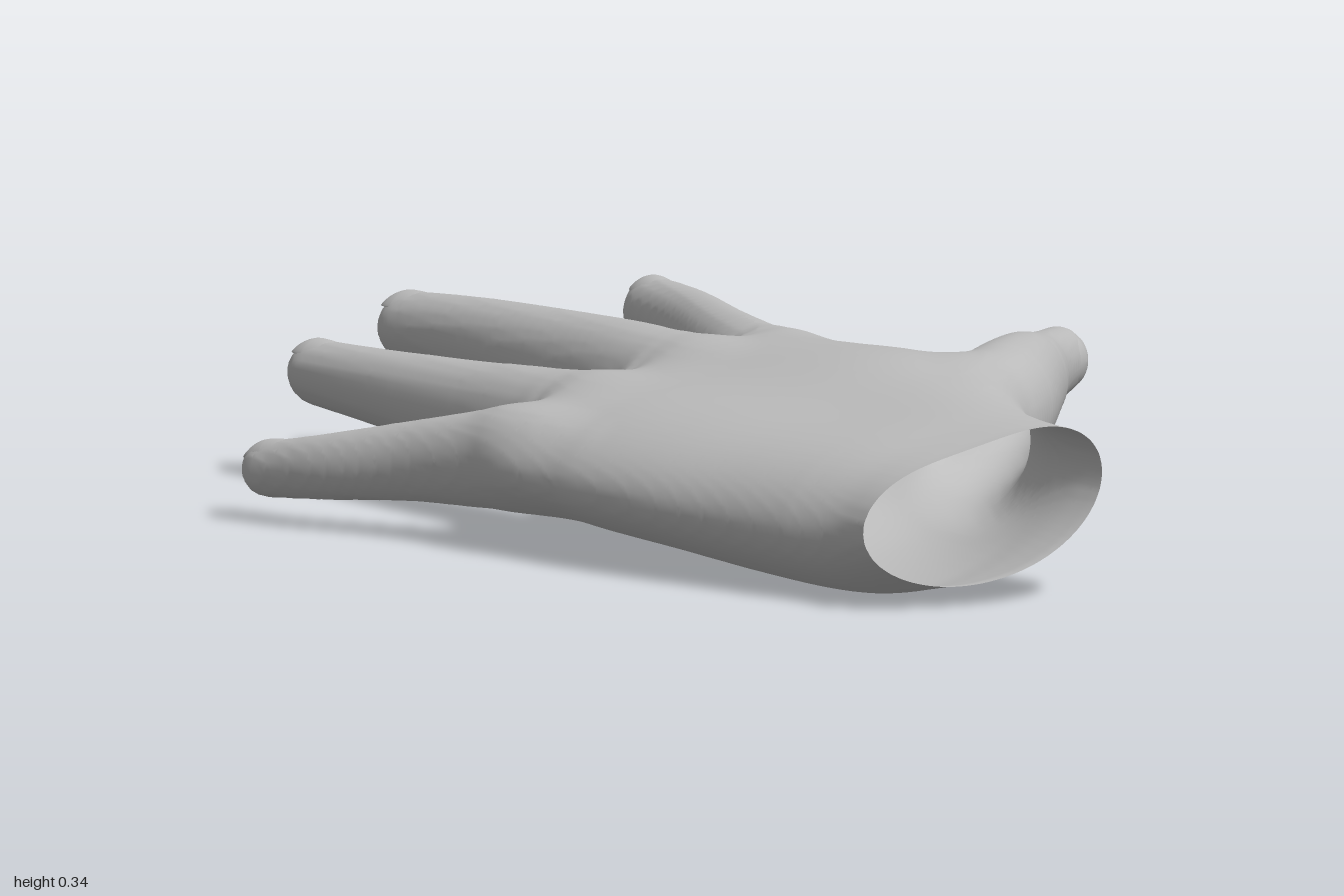
import * as THREE from 'three';

const skin = new THREE.MeshStandardMaterial({ color: 0xbcbcbc, side: THREE.DoubleSide });
skin.name = 'plain grey';

// Smoothly interpolates rows of numbers placed at increasing positions
function interpolate(positions, rows) {
  const curve = new THREE.CubicInterpolant(
    new Float32Array(positions), new Float32Array(rows.flat()), rows[0].length);
  return (t) => Array.from(curve.evaluate(t));
}

// Approximate distance to an ellipsoid with radii a, b, c
function ellipsoid(x, y, z, a, b, c) {
  const q = Math.hypot(x / a, y / b, z / c) + 1e-6;
  return (q * (q - 1)) / (Math.hypot(x / (a * a), y / (b * b), z / (c * c)) + 1e-6);
}

// Palm from wrist to finger webs: [z, left, right, centre y, half height, tilt, hollow]
const PALM = [
  [0.985, -0.405, 0.055, 0.178, 0.13, 0.17, 0],
  [0.9, -0.41, 0.055, 0.172, 0.141, 0.18, 0],
  [0.8, -0.428, 0.07, 0.168, 0.153, 0.18, 0],
  [0.6, -0.47, 0.14, 0.175, 0.158, 0.16, 0.015],
  [0.4, -0.515, 0.215, 0.19, 0.153, 0.15, 0.06],
  [0.2, -0.54, 0.2, 0.195, 0.142, 0.14, 0.09],
  [0, -0.535, 0.185, 0.2, 0.124, 0.13, 0.065],
  [-0.045, -0.485, 0.183, 0.203, 0.115, 0.13, 0.045],
  [-0.09, -0.41, 0.175, 0.205, 0.1, 0.13, 0.025],
];
const palmSection = interpolate(PALM.map((r) => -r[0]), PALM.map((r) => r.slice(1)));
const PALM_FRONT = -0.09, WEB_LENGTH = 0.055;

function palmDistance(x, y, z, [left, right, cy, hh, tilt, hollow]) {
  const u = x - (left + right) / 2, v = y - cy - tilt * u;
  // Cup the underside and flatten the back of the hand
  const h = hh - (v < 0 ? hollow * Math.exp(-((x + 0.14) ** 2) / 0.03)
    : 0.027 * Math.exp(-((x + 0.22) ** 2) / 0.03));
  return ellipsoid(u, v, Math.min(0, z - PALM_FRONT), (right - left) / 2, h, WEB_LENGTH);
}

// Digits from root to tip: [x, y, z, half width, half height]
const DIGITS = {
  littleFinger: [
    [-0.45, 0.165, 0.2, 0.04, 0.045], [-0.485, 0.16, 0, 0.07, 0.088],
    [-0.502, 0.15, -0.07, 0.067, 0.083], [-0.549, 0.136, -0.19, 0.05, 0.07],
    [-0.629, 0.108, -0.38, 0.043, 0.055], [-0.666, 0.087, -0.54, 0.042, 0.045],
  ],
  ringFinger: [
    [-0.285, 0.18, 0.2, 0.05, 0.05], [-0.3, 0.185, -0.02, 0.083, 0.096],
    [-0.308, 0.182, -0.17, 0.083, 0.096], [-0.316, 0.182, -0.36, 0.073, 0.084],
    [-0.327, 0.188, -0.69, 0.057, 0.063], [-0.328, 0.19, -0.887, 0.053, 0.053],
  ],
  middleFinger: [
    [-0.1, 0.205, 0.2, 0.05, 0.06], [-0.085, 0.218, -0.02, 0.085, 0.103],
    [-0.08, 0.225, -0.17, 0.09, 0.104], [-0.072, 0.23, -0.43, 0.08, 0.092],
    [-0.066, 0.235, -0.78, 0.065, 0.07], [-0.066, 0.23, -1, 0.059, 0.057],
  ],
  indexFinger: [
    [0.06, 0.215, 0.18, 0.05, 0.06], [0.1, 0.216, -0.02, 0.082, 0.099],
    [0.121, 0.222, -0.15, 0.08, 0.098], [0.175, 0.233, -0.33, 0.066, 0.086],
    [0.271, 0.243, -0.6, 0.057, 0.07], [0.329, 0.248, -0.828, 0.052, 0.057],
  ],
  thumb: [
    [-0.03, 0.2, 0.8, 0.05, 0.06], [0.04, 0.2, 0.62, 0.085, 0.105],
    [0.14, 0.21, 0.46, 0.107, 0.117], [0.285, 0.226, 0.325, 0.098, 0.106],
    [0.42, 0.233, 0.19, 0.077, 0.091], [0.54, 0.232, 0.065, 0.058, 0.067],
    [0.673, 0.232, -0.053, 0.047, 0.055],
  ],
};
const UP = new THREE.Vector3(0, 1, 0);
const vec = (r) => new THREE.Vector3(r[0], r[1], r[2]);

// Spine of a digit: a section and frame at evenly spaced stations, up to the rounded tip
function makeSpine(rows) {
  const lengths = [0];
  for (let i = 1; i < rows.length; i++) {
    lengths.push(lengths[i - 1] + vec(rows[i]).distanceTo(vec(rows[i - 1])));
  }
  const section = interpolate(lengths, rows);
  const length = lengths[lengths.length - 1], cap = rows[rows.length - 1][3] * 1.25;
  const frame = (s) => {
    const [x, y, z, w, h] = section(s);
    const d = vec(section(Math.min(s + 0.005, length)))
      .sub(vec(section(Math.max(s - 0.005, 0)))).normalize();
    const side = d.clone().cross(UP).normalize();
    return { x, y, z, w, h, d, side, normal: side.clone().cross(d) };
  };
  const stations = Array.from({ length: 121 }, (_, i) => frame(((length - cap) * i) / 120));
  return { stations, cap, length, frame };
}

function digitDistance(x, y, z, { stations, cap }) {
  let best = 0, nearest = Infinity;
  for (let i = 0; i < stations.length; i++) {
    const s = stations[i];
    const q = (x - s.x) ** 2 + (y - s.y) ** 2 + (z - s.z) ** 2;
    if (q < nearest) { nearest = q; best = i; }
  }
  const { x: sx, y: sy, z: sz, w, h, d, side, normal } = stations[best];
  const dot = (a) => (x - sx) * a.x + (y - sy) * a.y + (z - sz) * a.z;
  const end = best === stations.length - 1 || best === 0;
  return ellipsoid(dot(side), dot(normal), end ? dot(d) : 0, w, h, cap);
}

// One continuous skin where palm and digits melt together, open at the wrist
function makeSkin(spines) {
  const cell = 0.0125, size = [120, 36, 164], origin = [-0.74, -0.03, -1.02875];
  const stride = [1, size[0], size[0] * size[1]];
  const field = new Float32Array(size[0] * size[1] * size[2]);
  const nodes = (visit) => {
    for (let k = 0, n = 0; k < size[2]; k++)
      for (let j = 0; j < size[1]; j++)
        for (let i = 0; i < size[0]; i++) visit([i, j, k], n++);
  };
  const slices = Array.from({ length: size[2] }, (_, k) => palmSection(
    THREE.MathUtils.clamp(-(origin[2] + k * cell), -PALM[0][0], -PALM_FRONT)));
  nodes((at, n) => {
    const [x, y, z] = at.map((v, a) => origin[a] + v * cell);
    const palm = palmDistance(x, y, z, slices[at[2]]);
    const digits = Math.min(...spines.map((spine) => digitDistance(x, y, z, spine)));
    const blend = Math.max(0, 0.05 - Math.abs(palm - digits));
    field[n] = Math.min(palm, digits) - (blend * blend) / 0.2;
  });

  // One vertex in each cell that the surface crosses
  const positions = [], index = [], ids = new Int32Array(field.length).fill(-1);
  nodes((at, n) => {
    if (at.some((v, a) => v === size[a] - 1)) return;
    const sum = [0, 0, 0];
    let count = 0;
    for (let corner = 0; corner < 8; corner++) {
      const bits = [corner & 1, (corner >> 1) & 1, corner >> 2];
      const m = n + bits[0] * stride[0] + bits[1] * stride[1] + bits[2] * stride[2];
      for (let a = 0; a < 3; a++) {
        if (bits[a] || field[m] < 0 === field[m + stride[a]] < 0) continue;
        bits.forEach((b, c) => { sum[c] += b; });
        sum[a] += field[m] / (field[m] - field[m + stride[a]]);
        count++;
      }
    }
    if (!count) return;
    ids[n] = positions.length / 3;
    const [x, y, z] = at.map((v, a) => origin[a] + (v + sum[a] / count) * cell);
    // Curve the wrist opening back towards its sides and top
    const rim = 0.5 * (x + 0.08) ** 2 + 0.06 * (y - 0.05);
    positions.push(x, y, z - rim * Math.max(0, (z - 0.75) * 4));
  });
  // One quad around each grid edge that the surface crosses
  nodes((at, n) => {
    for (let a = 0; a < 3; a++) {
      const b = (a + 1) % 3, c = (a + 2) % 3;
      if (at[a] === size[a] - 1 || !at[b] || !at[c]) continue;
      const inside = field[n] < 0;
      if (inside === field[n + stride[a]] < 0) continue;
      const q = [n, n - stride[b], n - stride[b] - stride[c], n - stride[c]].map((m) => ids[m]);
      if (q.includes(-1)) continue;
      if (!inside) q.reverse();
      index.push(q[0], q[1], q[2], q[0], q[2], q[3]);
    }
  });
  const geometry = new THREE.BufferGeometry();
  geometry.setAttribute('position', new THREE.Float32BufferAttribute(positions, 3));
  geometry.setIndex(index);
  geometry.computeVertexNormals();
  const mesh = new THREE.Mesh(geometry, skin);
  mesh.name = 'skin';
  return mesh;
}

// Nail: thin oval plate bent over the fingertip; the thumb's faces outwards
function makeNail(name, { length, frame }) {
  const tip = frame(length - 0.06), isThumb = name === 'thumb';
  const normal = isThumb ? tip.side : tip.normal;
  const [w, h] = isThumb ? [tip.h, tip.w] : [tip.w, tip.h];
  const plate = new THREE.SphereGeometry(1, 24, 16).scale(w * 0.75, 0.006, 0.06);
  const p = plate.attributes.position;
  for (let i = 0; i < p.count; i++) {
    const drop = h * (1 - Math.sqrt(1 - (p.getX(i) / w) ** 2));
    p.setY(i, p.getY(i) - drop - 7 * Math.min(0, p.getZ(i)) ** 2);
  }
  plate.computeVertexNormals();
  const nail = new THREE.Mesh(plate, skin);
  nail.name = name + 'Nail';
  nail.quaternion.setFromRotationMatrix(new THREE.Matrix4().makeBasis(
    tip.d.clone().cross(normal), normal, tip.d.clone().negate()));
  nail.position.copy(tip).addScaledVector(normal, h - 0.003);
  return nail;
}

export function createModel() {
  const hand = new THREE.Group();
  hand.name = 'hand';
  const spines = Object.values(DIGITS).map(makeSpine);
  hand.add(makeSkin(spines));
  Object.keys(DIGITS).forEach((name, i) => hand.add(makeNail(name, spines[i])));
  return hand;
}
